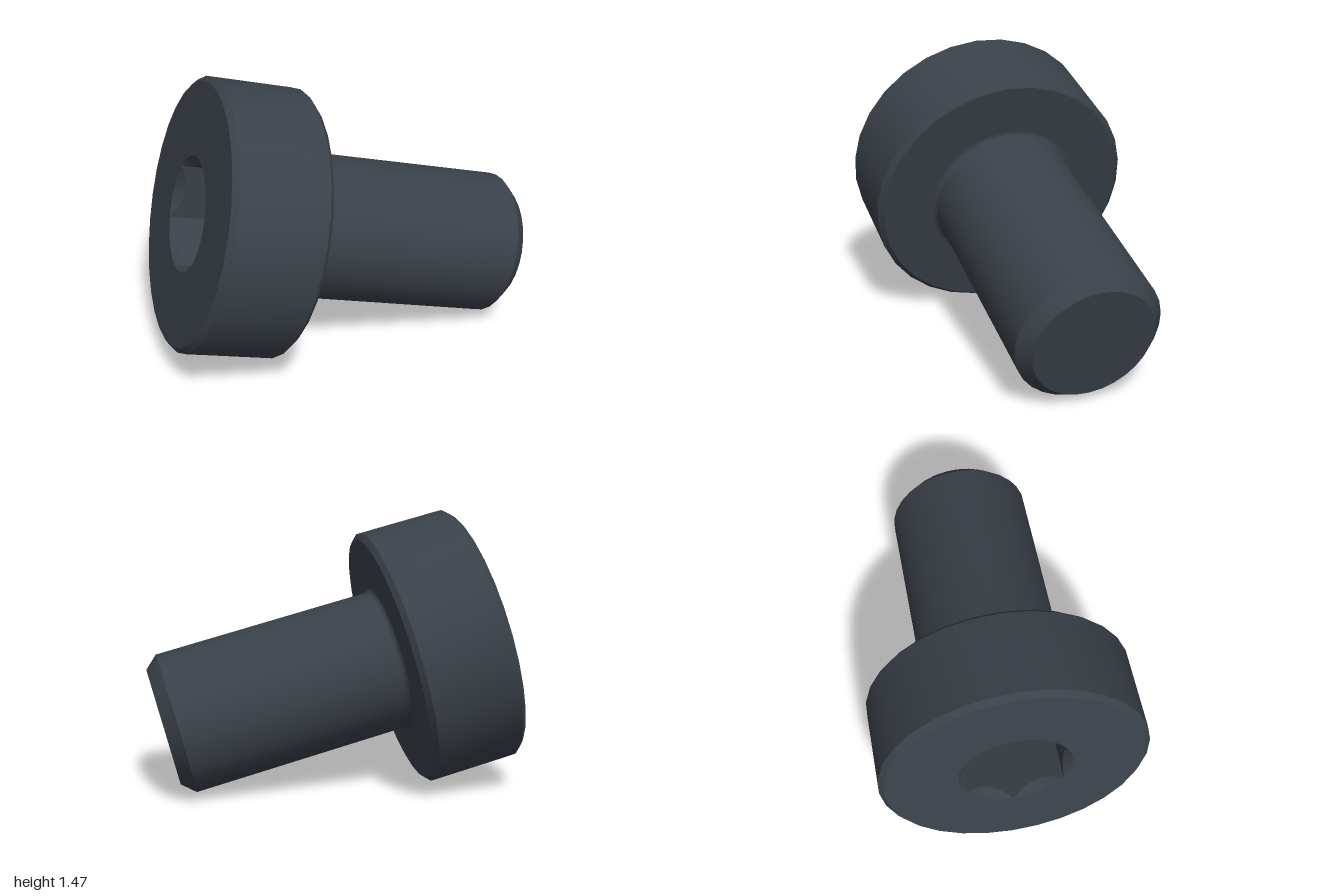
import * as THREE from 'three';
import { toCreasedNormals } from 'three/addons/utils/BufferGeometryUtils.js';

const SEGMENTS = 30;          // sides of every round part
const UNDERHEAD = 1.265, HEAD_TOP = 1.775;   // heights measured from the tip
const SHANK_R = 0.38, HEAD_R = 0.7, SOCKET_R = 0.296;

// Lathe from [radius, height] pairs
const lathe = (pairs) =>
  new THREE.LatheGeometry(pairs.map(([r, h]) => new THREE.Vector2(r, h)), SEGMENTS);

// Hexagon radius at an angle, with a corner at angle 0
function hexRadius(angle) {
  const sixth = Math.PI / 3;
  const a = ((angle % sixth) + sixth) % sixth;
  return SOCKET_R * Math.cos(sixth / 2) / Math.cos(a - sixth / 2);
}

// Hex socket: a cone from the round rim runs into six flat walls and a floor
function socketGeometry() {
  const floor = HEAD_TOP - 0.37;
  const geo = lathe([[SOCKET_R, HEAD_TOP], [SOCKET_R, HEAD_TOP], [SOCKET_R, floor], [0, floor]]);
  const pos = geo.attributes.position;
  for (let i = 0; i < pos.count; i++) {
    const ring = i % 4;
    if (ring !== 1 && ring !== 2) continue;
    const angle = Math.floor(i / 4) / SEGMENTS * Math.PI * 2;
    const r = hexRadius(angle + 1e-9);
    const y = ring === 1 ? HEAD_TOP - (SOCKET_R - r) * 1.3 : floor;
    pos.setXYZ(i, r * Math.sin(angle), y, r * Math.cos(angle));
  }
  return geo;
}

export function createModel() {
  const model = new THREE.Group();
  model.name = 'socketScrew';
  const blackSteel = new THREE.MeshStandardMaterial({ color: 0x3a4149 });
  blackSteel.name = 'blackSteel';

  const add = (name, geometry) => {
    const mesh = new THREE.Mesh(toCreasedNormals(geometry, 0.4), blackSteel);
    mesh.name = name;
    screw.add(mesh);
  };

  const screw = new THREE.Group();
  screw.name = 'screw';
  model.add(screw);

  // Shank with chamfered tip and a small fillet below the head
  const fillet = 0.03, shank = [[0, 0], [0.316, 0], [SHANK_R, 0.07]];
  for (let i = 0; i <= 6; i++) {
    const a = i / 6 * Math.PI / 2;
    shank.push([SHANK_R + fillet * (1 - Math.cos(a)), UNDERHEAD - fillet * (1 - Math.sin(a))]);
  }
  add('shank', lathe(shank));

  // Head with chamfered edges, open where the socket begins
  const c = 0.027;
  add('head', lathe([
    [SHANK_R + fillet, UNDERHEAD], [HEAD_R - c, UNDERHEAD], [HEAD_R, UNDERHEAD + c],
    [HEAD_R, HEAD_TOP - c], [HEAD_R - c, HEAD_TOP], [SOCKET_R, HEAD_TOP],
  ]));
  add('hexSocket', socketGeometry());

  // Lay the screw down, resting on head rim and tip, one socket corner downwards
  const up = new THREE.Vector3(-0.947, 0.251, -0.202).normalize();
  const corner = new THREE.Vector3(0, -1, -0.05).projectOnPlane(up).normalize();
  const side = new THREE.Vector3().crossVectors(up, corner);
  screw.quaternion.setFromRotationMatrix(new THREE.Matrix4().makeBasis(side, up, corner));
  screw.position.set(0.898, 0.355, 0.31);

  return model;
}
